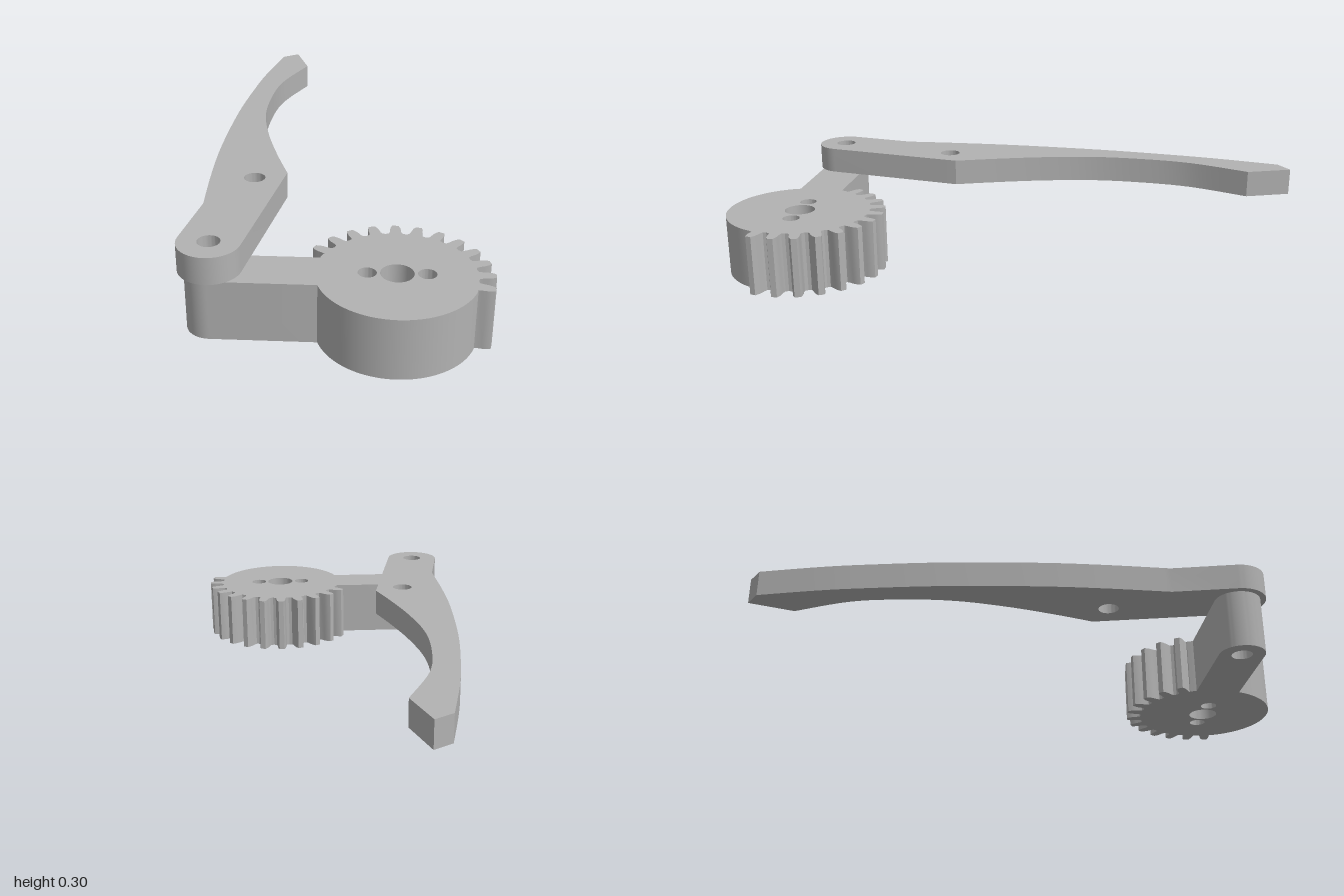
import * as THREE from 'three';
import { toCreasedNormals } from 'three/addons/utils/BufferGeometryUtils.js';

const RAD = Math.PI / 180;
const GEAR = new THREE.Vector2(0.182, 0.75);   // plan positions as (x, z)
const PIVOT = new THREE.Vector2(-0.38, 0.672);

const polar = (c, r, deg) =>
  new THREE.Vector2(c.x + r * Math.cos(deg * RAD), c.y + r * Math.sin(deg * RAD));

function arc(c, r, from, to, steps = 32) {
  return Array.from({ length: steps + 1 }, (_, i) => polar(c, r, from + ((to - from) * i) / steps));
}

// Extrude a plan outline with round holes [x, z, radius] between two heights
function plate(name, outline, holes, bottom, top, material) {
  const shape = new THREE.Shape(outline);
  for (const [x, z, r] of holes) {
    const hole = new THREE.Path();
    hole.absarc(x, z, r, 0, Math.PI * 2, true);
    shape.holes.push(hole);
  }
  const geo = new THREE.ExtrudeGeometry(shape, {
    depth: top - bottom, bevelEnabled: false, curveSegments: 20,
  });
  geo.rotateX(Math.PI / 2);
  geo.translate(0, top, 0);
  const mesh = new THREE.Mesh(toCreasedNormals(geo, 0.4), material);
  mesh.name = name;
  return mesh;
}

// Half-toothed gear with a straight crank arm reaching the pivot
function gearOutline() {
  const pts = [];
  // half tooth: [radius, half angle]
  const flank = [[0.246, 4.9], [0.256, 4.1], [0.272, 3.7], [0.286, 3.0], [0.297, 1.9]];
  for (let i = 0; i < 12; i++) {
    const mid = -142.5 + i * 15;
    for (const [r, a] of flank) pts.push(polar(GEAR, r, mid - a));
    for (const [r, a] of [...flank].reverse()) pts.push(polar(GEAR, r, mid + a));
    if (i < 11) pts.push(polar(GEAR, 0.243, mid + 7.5));
  }
  const dir = Math.atan2(PIVOT.y - GEAR.y, PIVOT.x - GEAR.x) / RAD + 360;
  const spread = Math.asin(0.08 / 0.25) / RAD;
  pts.push(...arc(GEAR, 0.25, 28, dir - spread, 48));
  pts.push(...arc(PIVOT, 0.08, dir - 90, dir + 90));
  pts.push(...arc(GEAR, 0.25, dir + spread, 212, 4));
  return pts;
}

// Curved finger: round pivot end, swept back edge, pointed tip, hollow inner edge
function fingerOutline() {
  const curve = (list, n) =>
    new THREE.SplineCurve(list.map(([x, z]) => new THREE.Vector2(x, z))).getPoints(n);
  return [
    ...arc(PIVOT, 0.1, 19.1, 198.2),
    ...curve([[-0.4, 0.425], [-0.375, 0.2], [-0.34, -0.03], [-0.273, -0.344],
      [-0.198, -0.61], [-0.145, -0.77], [-0.067, -0.97]], 36),
    new THREE.Vector2(0, -1),
    ...curve([[0.03, -0.84], [-0.087, -0.65], [-0.145, -0.465], [-0.172, -0.29],
      [-0.167, -0.106], [-0.145, 0.07], [-0.118, 0.222]], 36),
  ];
}

export function createModel() {
  const group = new THREE.Group();
  group.name = 'gripperFinger';
  const grey = new THREE.MeshStandardMaterial({ color: 0xb2b2b2 });
  grey.name = 'grey';

  const pivotHole = [PIVOT.x, PIVOT.y, 0.036];
  group.add(plate('gearWithArm', gearOutline(), [
    pivotHole,
    [GEAR.x, GEAR.y, 0.052],
    [GEAR.x - 0.09, GEAR.y - 0.012, 0.029],
    [GEAR.x + 0.09, GEAR.y + 0.012, 0.029],
  ], 0, 0.204, grey));
  group.add(plate('finger', fingerOutline(), [pivotHole, [-0.23, 0.249, 0.036]], 0.205, 0.297, grey));
  return group;
}
